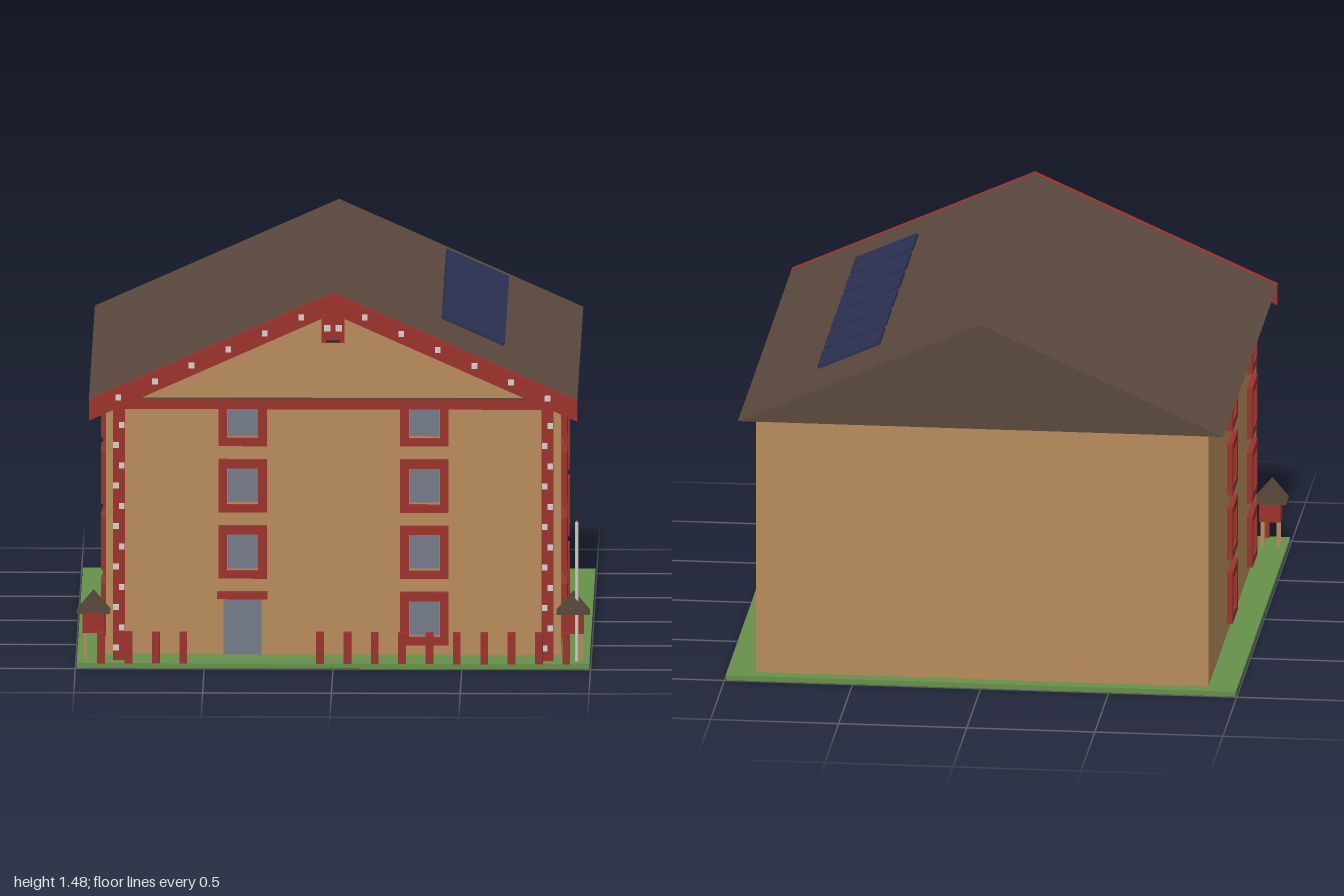
import * as THREE from 'three';

const mat = (name, color) => {
  const m = new THREE.MeshStandardMaterial({ color });
  m.name = name;
  return m;
};

export function createModel() {
  const root = new THREE.Group();
  root.name = 'house';
  const tan = mat('tan wall', 0xb88c5a), red = mat('red timber', 0x9c322d),
    brown = mat('brown roof', 0x5b493d), green = mat('grass', 0x66914a),
    glass = mat('grey glass', 0x757b89), navy = mat('solar blue', 0x2a3152),
    pale = mat('pale metal', 0xd2d0ca), dark = mat('dark mouth', 0x302c2e);

  const add = (parent, name, geo, m, x = 0, y = 0, z = 0) => {
    const mesh = new THREE.Mesh(geo, m);
    mesh.name = name;
    mesh.position.set(x, y, z);
    parent.add(mesh);
    return mesh;
  };
  // Box given by its min and max on each axis
  const box = (parent, name, m, x0, x1, y0, y1, z0, z1) =>
    add(parent, name, new THREE.BoxGeometry(x1 - x0, y1 - y0, z1 - z0), m,
      (x0 + x1) / 2, (y0 + y1) / 2, (z0 + z1) / 2);
  const prism = (points, depth) => new THREE.ExtrudeGeometry(
    new THREE.Shape(points.map(p => new THREE.Vector2(...p))), { depth, bevelEnabled: false });

  // Ground and main block
  box(root, 'ground', green, -0.995, 0.995, 0, 0.02, -0.995, 0.99);
  box(root, 'walls', tan, -0.883, 0.883, 0.02, 1.056, -0.94, 0.8);

  // Solid gable roof with a tan front face
  const slope = (1.48 - 1.056) / 0.948;
  add(root, 'roof', prism([[-0.948, 1.056], [0.948, 1.056], [0, 1.48]], 1.942), brown, 0, 0, -0.992);
  add(root, 'gableFace', prism([[-0.8, 1.064], [0.8, 1.064], [0, 1.064 + 0.8 * slope]], 0.007), tan, 0, 0, 0.95);

  // Bargeboards along the front roof edge, with studs
  add(root, 'bargeboards', prism([[-0.948, 1.056], [-0.948, 0.976], [0, 1.4], [0.948, 0.976],
    [0.948, 1.056], [0, 1.48]], 0.03), red, 0, 0, 0.951);
  const stud = new THREE.BoxGeometry(0.022, 0.022, 0.012);
  for (const s of [-1, 1]) {
    for (let i = 0; i < 6; i++) {
      const x = 0.123 + i * 0.142;
      add(root, 'bargeStud', stud, pale, s * x, 1.441 - slope * x, 0.984);
    }
  }

  // Carved face at the gable peak
  const face = new THREE.Group();
  face.name = 'gableCarving';
  root.add(face);
  box(face, 'carvingBlock', red, -0.045, 0.045, 1.285, 1.395, 0.95, 0.985);
  box(face, 'carvingNose', red, -0.01, 0.01, 1.305, 1.33, 0.985, 0.998);
  box(face, 'carvingMouth', dark, -0.028, 0.028, 1.289, 1.298, 0.985, 0.99);
  for (const s of [-1, 1]) add(face, 'carvingEye', new THREE.BoxGeometry(0.025, 0.025, 0.009), pale, s * 0.023, 1.345, 0.988);

  // Front beam and posts with staggered studs
  box(root, 'frontBeam', red, -0.855, 0.855, 1.012, 1.055, 0.88, 0.925);
  for (const s of [-1, 1]) {
    add(root, 'frontPost', new THREE.BoxGeometry(0.046, 1.0, 0.045), red, s * 0.832, 0.52, 0.9025);
    for (let i = 0; i < 12; i++)
      add(root, 'postStud', stud, pale, s * 0.832 + (i % 2 ? 0.011 : -0.011), 0.07 + i * 0.08, 0.929);
  }

  // Windows: red frame with a hole, thin glass set inside
  const frameShape = new THREE.Shape([[-0.094, -0.104], [0.094, -0.104], [0.094, 0.104], [-0.094, 0.104]]
    .map(p => new THREE.Vector2(...p)));
  frameShape.holes.push(new THREE.Path([[-0.06, -0.074], [-0.06, 0.07], [0.06, 0.07], [0.06, -0.074]]
    .map(p => new THREE.Vector2(...p))));
  const frameGeo = new THREE.ExtrudeGeometry(frameShape, { depth: 0.022, bevelEnabled: false });
  const glassGeo = new THREE.BoxGeometry(0.118, 0.135, 0.008);
  const addWindow = (x, y, z, turn) => {
    const w = new THREE.Group();
    w.name = 'window';
    add(w, 'windowFrame', frameGeo, red);
    add(w, 'windowGlass', glassGeo, glass, 0, 0.002, 0.004);
    w.position.set(x, y, z);
    w.rotation.y = turn;
    root.add(w);
  };
  for (let row = 0; row < 4; row++) {
    const y = 0.165 + row * 0.2617;
    addWindow(0.353, y, 0.8, 0);
    if (row > 0) addWindow(-0.353, y, 0.8, 0);
    for (const s of [-1, 1])
      for (const z of [0.553, -0.167]) addWindow(s * 0.883, y, z, s * Math.PI / 2);
  }

  // Door
  box(root, 'door', glass, -0.428, -0.28, 0.02, 0.248, 0.8, 0.809);
  box(root, 'doorLintel', red, -0.452, -0.256, 0.243, 0.27, 0.8, 0.83);

  // Solar panels standing just above the right slope
  for (let i = 0; i < 6; i++) {
    const p = add(root, 'solarPanel', new THREE.BoxGeometry(0.264, 0.012, 0.2), navy, 0.54, 1.267, 0.53 - i * 0.24);
    p.rotation.z = -Math.atan(slope);
  }

  // Fence stakes, leaving a gap before the door
  for (let i = 0; i < 18; i++) {
    const x = -0.9 + i * 0.1062;
    if (i > 3 && i < 8) continue;
    box(root, 'fenceStake', red, x - 0.015, x + 0.015, 0.02, 0.142, 0.968, 0.998);
  }

  // Small stilt houses at the front corners
  for (const s of [-1, 1]) {
    const hut = new THREE.Group();
    hut.name = 'birdHouse';
    hut.position.set(s * 0.931, 0, 0.878);
    root.add(hut);
    box(hut, 'hutBody', red, -0.042, 0.042, 0.125, 0.206, -0.036, 0.036);
    add(hut, 'hutRoof', prism([[-0.065, 0.204], [0.065, 0.204], [0, 0.28]], 0.118), brown, 0, 0, -0.059);
    for (const a of [-1, 1])
      for (const b of [-1, 1])
        add(hut, 'hutLeg', new THREE.BoxGeometry(0.01, 0.107, 0.01), tan, a * 0.032, 0.073, b * 0.03);
  }

  // Flagpole and flag
  add(root, 'flagpole', new THREE.CylinderGeometry(0.007, 0.007, 0.55, 8), pale, 0.945, 0.295, 0.93);
  box(root, 'flag', red, 0.942, 0.948, 0.504, 0.56, 0.834, 0.925);

  return root;
}
